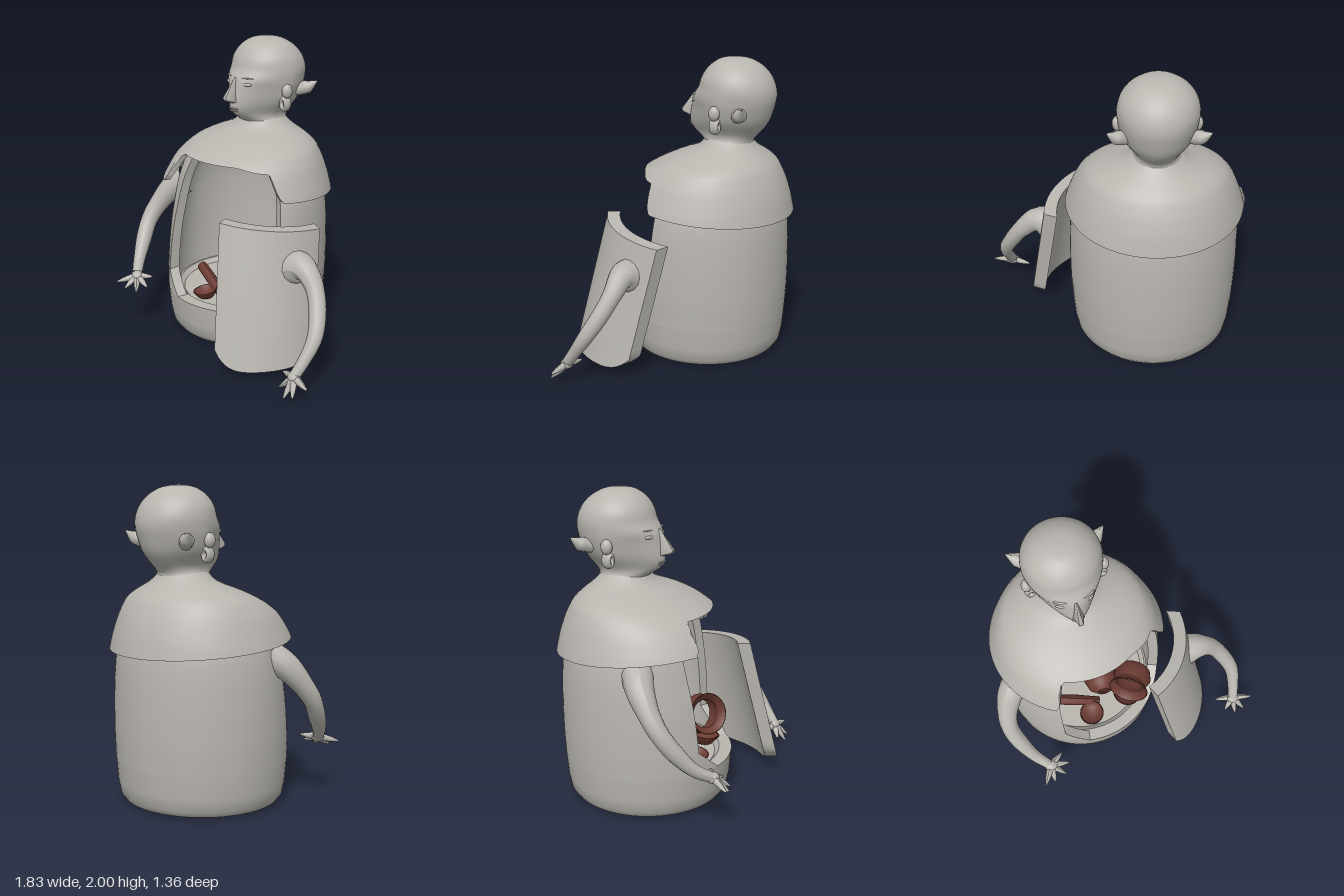
import * as THREE from 'three';
import { toCreasedNormals } from 'three/addons/utils/BufferGeometryUtils.js';
import { ConvexGeometry } from 'three/addons/geometries/ConvexGeometry.js';

const V = (x, y, z) => new THREE.Vector3(x, y, z);
const DEG = Math.PI / 180;
const { lerp, clamp, smoothstep } = THREE.MathUtils;
const CX = -0.25; // axis of the jar body and head
const CZ = -0.1;

const clay = new THREE.MeshStandardMaterial({ color: 0xb9b6b0 });
clay.name = 'grey clay';
const terracotta = new THREE.MeshStandardMaterial({ color: 0x6c3b32, side: THREE.DoubleSide });
terracotta.name = 'dark terracotta';

// Smoothly interpolates rows [y, a, b, ...] sorted by rising y
function sample(rows, y) {
  const last = rows.length - 1;
  let i = 0;
  while (i < last - 1 && y > rows[i + 1][0]) i++;
  const [p, q] = [rows[i], rows[i + 1]];
  const [o, r] = [rows[Math.max(i - 1, 0)], rows[Math.min(i + 2, last)]];
  const h = q[0] - p[0];
  const t = clamp((y - p[0]) / h, 0, 1);
  return p.map((n, k) => {
    const m0 = (q[k] - o[k]) / (q[0] - o[0]) * h;
    const m1 = (r[k] - p[k]) / (r[0] - p[0]) * h;
    return n + t * t * (3 - 2 * t) * (q[k] - n) + t * (1 - t) * ((1 - t) * m0 - t * m1);
  });
}

// Triangles of a surface fn(u, v); its front is on the side of du x dv
function patch(out, fn, nu, nv) {
  for (let i = 0; i < nu; i++) for (let j = 0; j < nv; j++) {
    const [a, b, c, d] = [[i, j], [i + 1, j], [i + 1, j + 1], [i, j + 1]].map(([m, n]) => fn(m / nu, n / nv));
    for (const p of [a, b, c, a, c, d]) out.push(p.x, p.y, p.z);
  }
}

function finish(out, crease = 0.7) {
  const g = new THREE.BufferGeometry();
  g.setAttribute('position', new THREE.Float32BufferAttribute(out, 3));
  return toCreasedNormals(g, crease);
}

// Thick shell between two surfaces, with rims; ends are capped unless it closes on itself
function shell(outer, inner, nu, nv, closed) {
  const out = [];
  patch(out, outer, nu, nv);
  patch(out, (u, v) => inner(1 - u, v), nu, nv);
  patch(out, (u, v) => inner(u, 0).lerp(outer(u, 0), v), nu, 1);
  patch(out, (u, v) => outer(u, 1).lerp(inner(u, 1), v), nu, 1);
  if (!closed) {
    patch(out, (u, v) => outer(0, u).lerp(inner(0, u), v), nv, 1);
    patch(out, (u, v) => inner(1, u).lerp(outer(1, u), v), nv, 1);
  }
  return finish(out);
}

// Tube along points whose radius follows a list
function limb(points, radii, n = 28, sides = 14) {
  const curve = new THREE.CatmullRomCurve3(points);
  const g = new THREE.TubeGeometry(curve, n, 1, sides);
  const pos = g.attributes.position;
  const p = V(0, 0, 0);
  for (let k = 0; k < pos.count; k++) {
    const u = Math.floor(k / (sides + 1)) / n;
    const f = u * (radii.length - 1);
    const i = Math.min(Math.floor(f), radii.length - 2);
    const c = curve.getPointAt(u);
    p.fromBufferAttribute(pos, k).sub(c).multiplyScalar(lerp(radii[i], radii[i + 1], f - i)).add(c);
    pos.setXYZ(k, p.x, p.y, p.z);
  }
  g.computeVertexNormals();
  return g;
}

export function createModel() {
  const model = new THREE.Group();
  model.name = 'openJarFigure';
  const add = (name, geo, mat = clay, parent = model) => {
    const m = new THREE.Mesh(geo, mat);
    m.name = name;
    parent.add(m);
    return m;
  };
  const ball = (name, p, s, parent = model) => {
    const m = add(name, new THREE.SphereGeometry(1, 20, 14), clay, parent);
    m.position.copy(p);
    m.scale.set(...s);
    return m;
  };

  // Base of the jar with its inner floor
  const foot = [[0, 0], [0.46, 0], [0.5, 0.015], [0.525, 0.05], [0.54, 0.13], [0.552, 0.28], [0.47, 0.28], [0.44, 0.25], [0, 0.25]];
  const base = [];
  patch(base, (u, v) => {
    const [r, y] = foot[Math.round(v * (foot.length - 1))];
    const a = u * Math.PI * 2;
    return V(CX + r * Math.sin(a), y, CZ + r * Math.cos(a));
  }, 72, foot.length - 1);
  add('jarBase', finish(base));

  // Jar wall, its front leaning back, with an opening that narrows at the lower corners
  // Rows of height, radius and front depth
  const wallRows = [[0.28, 0.552, 0.552], [0.45, 0.56, 0.54], [0.7, 0.56, 0.5], [0.9, 0.55, 0.445], [1.03, 0.53, 0.405], [1.12, 0.5, 0.37], [1.22, 0.45, 0.32]];
  const wall = (thick, cut) => (u, v) => {
    const y = lerp(0.28, 1.22, v);
    const k = clamp((y - 0.28) / 0.14, 0, 1);
    const a = lerp(lerp(45, 69, k), lerp(350, 333 - cut, k), u) * DEG;
    const [, r, front] = sample(wallRows, y);
    const depth = Math.cos(a) > 0 ? front : r;
    return V(CX + (r - thick) * Math.sin(a), y, CZ + (depth - thick) * Math.cos(a));
  };
  add('jarWall', shell(wall(0, 0), wall(0.07, 4), 61, 27, false));

  // Shoulder cape, its hem lifted over the opening; rows of height, half width, half depth, centre z
  const capeRows = [[0.95, 0.595, 0.592, CZ], [1.02, 0.582, 0.578, CZ], [1.1, 0.555, 0.55, -0.11], [1.2, 0.515, 0.495, -0.13],
    [1.25, 0.485, 0.45, -0.15], [1.3, 0.445, 0.39, -0.18], [1.35, 0.36, 0.31, -0.21], [1.41, 0.22, 0.2, -0.25], [1.47, 0.15, 0.15, -0.25]];
  const cape = (thick) => (u, v) => {
    const d = u * 360 - 180;
    const a = d * DEG;
    const lift = smoothstep(d, -29, -24) * (1 - smoothstep(d, 60, 74));
    const hem = lerp(1.02 + 0.05 * Math.cos(a), 1.245 - 0.03 * smoothstep(d, 30, 60), lift);
    const y = v < 0.5 ? lerp(hem, 1.26, v * 2) : lerp(1.26, 1.47, v * 2 - 1);
    const [, rx, rz, cz] = sample(capeRows, y);
    return V(CX + (rx - thick) * Math.sin(a), y - thick * 0.4 * v, cz + (rz - thick) * Math.cos(a));
  };
  add('shoulderCape', shell(cape(0), cape(0.04), 144, 20, true));

  // Head and neck: rows of height, half width, back z, front z, face taper
  const headRows = [[1.4, 0.23, -0.46, -0.06, 0], [1.44, 0.17, -0.42, -0.1, 0], [1.475, 0.15, -0.43, -0.06, 0.1], [1.505, 0.155, -0.46, -0.01, 0.35],
    [1.55, 0.185, -0.5, 0.02, 0.42], [1.6, 0.217, -0.53, 0.02, 0.4], [1.68, 0.242, -0.555, 0.005, 0.3], [1.74, 0.25, -0.568, -0.01, 0.15],
    [1.8, 0.25, -0.563, -0.05, 0.05], [1.87, 0.232, -0.535, -0.075, 0], [1.93, 0.19, -0.485, -0.115, 0],
    [1.97, 0.135, -0.425, -0.165, 0], [1.99, 0.08, -0.37, -0.21, 0], [2, 0, -0.29, -0.29, 0]];
  const head = [];
  patch(head, (u, v) => {
    const y = 1.4 + 0.6 * Math.sin(v * Math.PI / 2);
    const [, w, zb, zf, taper] = sample(headRows, y);
    const a = u * Math.PI * 2;
    const c = Math.cos(a);
    return V(CX + w * Math.sin(a) * (1 - taper * Math.max(0, c)), y, (zb + zf) / 2 + c * (zf - zb) / 2);
  }, 48, 40);
  add('head', finish(head, 1.2));

  // Face
  const nose = [V(CX, 1.76, -0.01), V(CX, 1.69, -0.06), V(CX, 1.57, -0.02)];
  for (const s of [-1, 1]) nose.push(V(CX + s * 0.008, 1.75, -0.012), V(CX + s * 0.014, 1.63, 0.085), V(CX + s * 0.012, 1.61, 0.08), V(CX + s * 0.035, 1.595, 0.01));
  add('nose', toCreasedNormals(new ConvexGeometry(nose), 1.1));
  ball('upperLip', V(CX, 1.55, 0.004), [0.042, 0.008, 0.02]);
  ball('lowerLip', V(CX, 1.534, 0.0), [0.036, 0.008, 0.02]);
  for (const s of [-1, 1]) {
    const side = s > 0 ? 'left' : 'right';
    ball(side + 'Brow', V(CX + s * 0.085, 1.755, -0.044), [0.045, 0.004, 0.012]).rotation.y = s * 0.35;
    ball(side + 'Eye', V(CX + s * 0.085, 1.715, -0.037), [0.036, 0.012, 0.014]).rotation.y = s * 0.35;
    // Pointed rear ear, front lobe and ring
    add(side + 'EarPoint', limb([V(CX + s * 0.19, 1.65, -0.39), V(CX + s * 0.25, 1.67, -0.43), V(CX + s * 0.31, 1.715, -0.465)], [0.045, 0.045, 0.004], 10, 10));
    ball(side + 'EarLobe', V(CX + s * 0.245, 1.665, -0.25), [0.032, 0.048, 0.038]);
    const ring = add(side + 'EarRing', new THREE.TorusGeometry(0.028, 0.017, 10, 20));
    ring.position.set(CX + s * 0.228, 1.58, -0.25);
    ring.scale.set(0.8, 1.2, 1.9);
  }

  // Detached door panel leaning against the jar, same curve as the wall
  const door = (r, end) => (u, v) => {
    const a = lerp(24, end, u) * DEG;
    const low = 0.055 + (u < 0.5 ? 0.12 : 0.09) * Math.pow(Math.abs(2 * u - 1), 5);
    const y = lerp(low, 0.96 - 0.08 * u, v);
    const t = (0.95 - y) / 0.9;
    return V(-0.1 + 0.14 * t + r * Math.sin(a), y, -0.057 + 0.18 * t + r * Math.cos(a));
  };
  add('doorPanel', shell(door(0.57, 94), door(0.485, 99), 28, 14, false));

  // Arms with palm and spread fingers
  const arm = (name, path, radii, palm, tips) => {
    const g = new THREE.Group();
    g.name = name;
    model.add(g);
    add(name + 'Limb', limb(path, radii), clay, g);
    ball(name + 'Palm', palm, [0.045, 0.035, 0.04], g);
    for (const t of tips) {
      const mid = palm.clone().lerp(t, 0.55);
      add(name + 'Finger', limb([palm, mid, t], [0.028, 0.023, 0.017, 0.006], 9, 8), clay, g);
    }
  };
  arm('rightArm',
    [V(-0.7, 0.96, 0.06), V(-0.78, 0.9, 0.12), V(-0.84, 0.78, 0.21), V(-0.855, 0.67, 0.29), V(-0.815, 0.54, 0.38), V(-0.75, 0.43, 0.47), V(-0.68, 0.375, 0.54)],
    [0.1, 0.085, 0.066, 0.058, 0.055, 0.042, 0.034], V(-0.665, 0.365, 0.55),
    [V(-0.74, 0.33, 0.67), V(-0.67, 0.3, 0.655), V(-0.58, 0.29, 0.625), V(-0.54, 0.32, 0.56), V(-0.57, 0.37, 0.49)]);
  arm('leftArm',
    [V(0.45, 0.67, 0.12), V(0.55, 0.69, 0.13), V(0.65, 0.61, 0.14), V(0.735, 0.48, 0.19), V(0.79, 0.34, 0.27), V(0.785, 0.21, 0.36), V(0.77, 0.13, 0.42)],
    [0.12, 0.075, 0.058, 0.055, 0.05, 0.04, 0.034], V(0.77, 0.125, 0.42),
    [V(0.645, 0.1, 0.39), V(0.7, 0.05, 0.475), V(0.77, 0.015, 0.51), V(0.835, 0.035, 0.5), V(0.91, 0.105, 0.45)]);

  // Pots and shards stored inside
  const pot = (name, profile, p, rot, s = 1) => {
    const m = add(name, new THREE.LatheGeometry(profile.map(([r, y]) => new THREE.Vector2(r, y)), 32), terracotta);
    m.position.set(...p);
    m.rotation.set(...rot);
    m.scale.setScalar(s);
  };
  const neck = [[0.11, 0.05], [0.125, 0.1], [0.105, 0.15], [0.1, 0.17], [0.13, 0.205], [0.12, 0.21],
    [0.088, 0.17], [0.095, 0.15], [0.113, 0.1], [0.1, 0.055]];
  const bowl = [[0, 0], [0.05, 0], [0.085, 0.05], [0.075, 0.05], [0.045, 0.012], [0, 0.012]];
  pot('uprightPot', [[0, 0], [0.07, 0], ...neck, [0, 0.02]], [-0.38, 0.25, -0.16], [0, 0, 0], 1.05);
  pot('tiltedPot', [...neck, neck[0]], [0.13, 0.39, 0.04], [1.2, 0, 0.55], 1.08);
  pot('brokenPot', [[0.045, 0.17], [0.1, 0.13], [0.125, 0.06], [0.11, 0], [0.095, 0], [0.11, 0.06], [0.09, 0.12], [0.035, 0.16]],
    [-0.13, 0.33, -0.02], [1.45, 0, 0.1]);
  pot('smallBowl', bowl, [-0.27, 0.25, 0.25], [0.15, 0, 0.1]);
  pot('wideBowl', bowl, [0.01, 0.25, 0.18], [0.1, 0, -0.1], 1.2);
  add('longShard', limb([V(-0.5, 0.36, 0.1), V(-0.35, 0.32, 0.14), V(-0.2, 0.27, 0.18)], [0.036, 0.038, 0.03], 8, 10), terracotta);

  return model;
}
